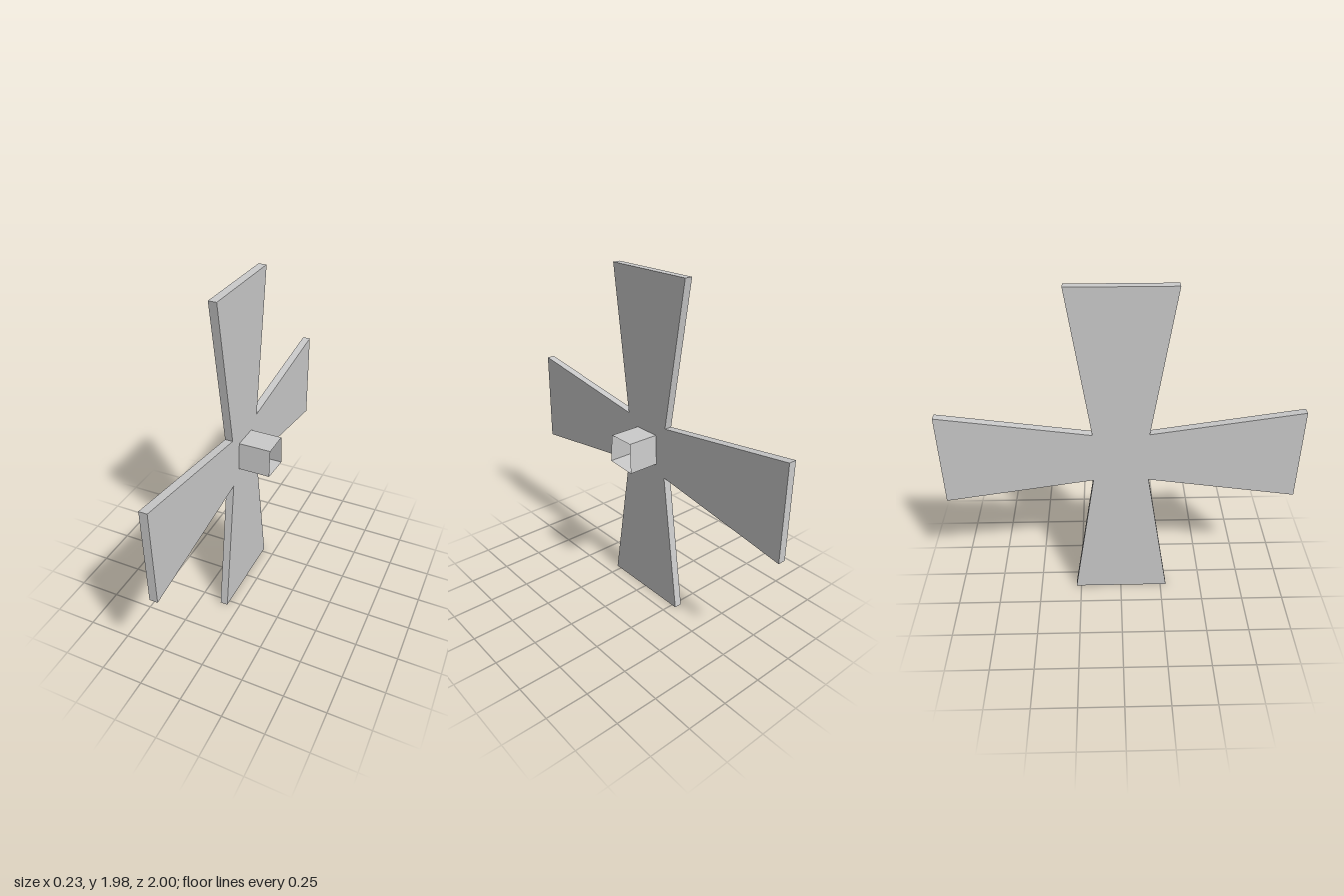
import * as THREE from 'three';

const grey = new THREE.MeshStandardMaterial({ color: 0xcccccc, flatShading: true });
const greyOpen = new THREE.MeshStandardMaterial({ color: 0xcccccc, flatShading: true, side: THREE.DoubleSide });

// Flat four-armed sail cross, drawn as (-z, y) and extruded along x
function makeBlades() {
  const outline = [
    [-0.285, 0.99], [-0.157, 0.15], [-1, 0.275], [-1, -0.28],
    [-0.157, -0.154], [-0.285, -0.993], [0.28, -0.993], [0.155, -0.154],
    [1, -0.287], [1, 0.268], [0.155, 0.15], [0.28, 0.99],
  ].map(([x, y]) => new THREE.Vector2(x, y));
  const geometry = new THREE.ExtrudeGeometry(new THREE.Shape(outline), { depth: 0.046, bevelEnabled: false });
  geometry.rotateY(Math.PI / 2);
  const mesh = new THREE.Mesh(geometry, grey);
  mesh.name = 'blades';
  mesh.position.set(-0.119, 1, 0);
  return mesh;
}

// Open, slightly uneven four-sided axle tube along x
function makeAxle() {
  const section = [[0.077, 0.087], [-0.08, 0.086], [-0.089, -0.09], [0.089, -0.077]]; // z, y
  const x0 = -0.073, x1 = 0.115;
  const positions = [];
  section.forEach(([z, y], i) => {
    const [zn, yn] = section[(i + 1) % section.length];
    const a = [x0, y, z], b = [x1, y, z], c = [x1, yn, zn], d = [x0, yn, zn];
    positions.push(...a, ...b, ...c, ...a, ...c, ...d);
  });
  const geometry = new THREE.BufferGeometry();
  geometry.setAttribute('position', new THREE.Float32BufferAttribute(positions, 3));
  geometry.computeVertexNormals();
  const mesh = new THREE.Mesh(geometry, greyOpen);
  mesh.name = 'axle';
  mesh.position.y = 1;
  return mesh;
}

export function createModel() {
  const group = new THREE.Group();
  group.name = 'windmillSails';
  group.add(makeBlades(), makeAxle());
  return group;
}
